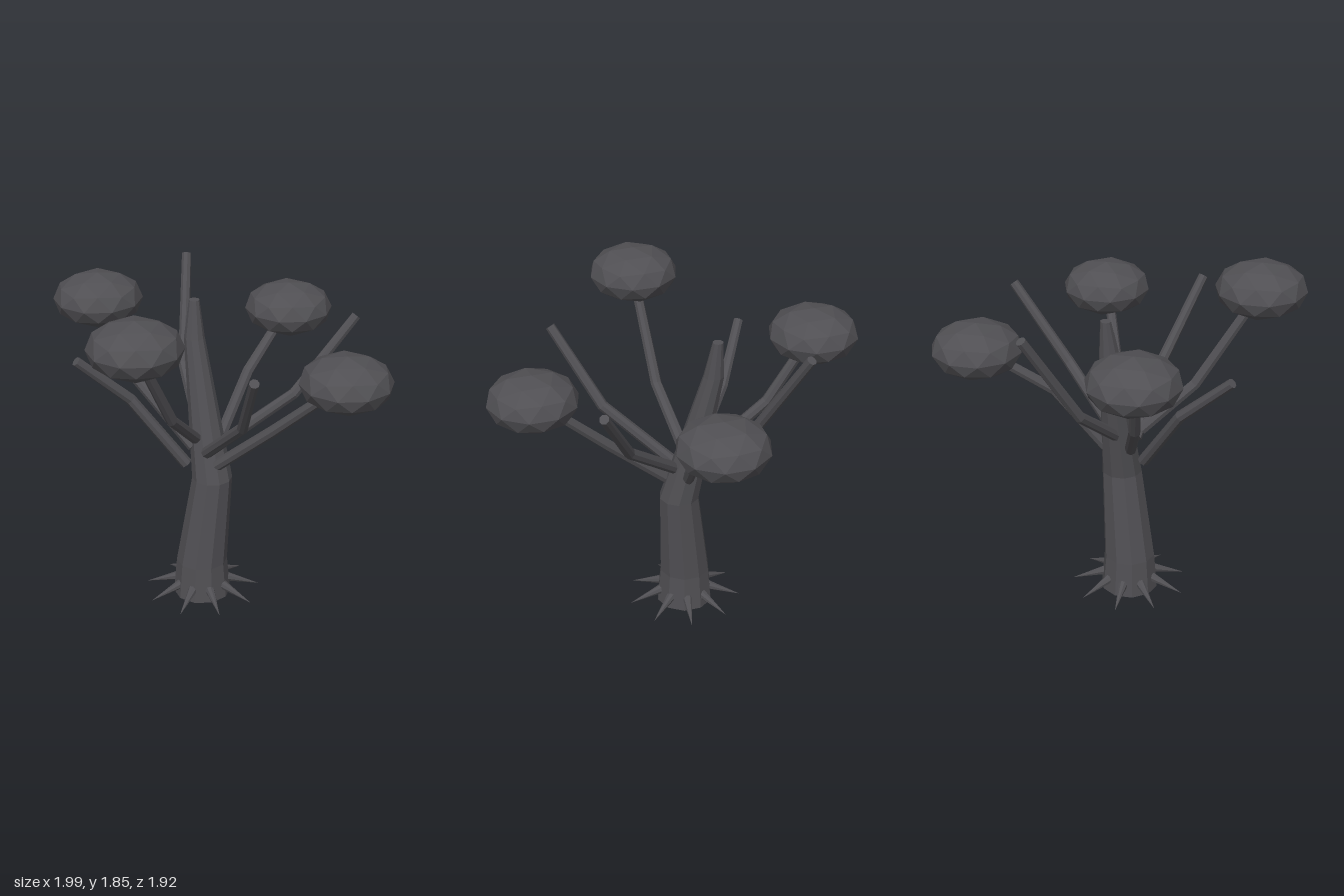
import * as THREE from 'three';

const bark = new THREE.MeshStandardMaterial({ color: 0x504f53, flatShading: true });
bark.name = 'charcoal';

const UP = new THREE.Vector3(0, 1, 0);

// Faceted limb through rings [x, y, z, radius], closed at both ends
function limb(name, rings, sides, level = false) {
  const centres = rings.map(([x, y, z]) => new THREE.Vector3(x, y, z));
  const pos = [], idx = [];
  const last = rings.length - 1;
  centres.forEach((c, i) => {
    const dir = centres[Math.min(i + 1, last)].clone().sub(centres[Math.max(i - 1, 0)]).normalize();
    const q = new THREE.Quaternion();
    if (!level) q.setFromUnitVectors(UP, dir);
    for (let s = 0; s < sides; s++) {
      const a = (s / sides) * Math.PI * 2;
      const p = new THREE.Vector3(Math.cos(a), 0, Math.sin(a)).multiplyScalar(rings[i][3]).applyQuaternion(q).add(c);
      pos.push(p.x, p.y, p.z);
    }
  });
  for (let i = 0; i < last; i++) {
    for (let s = 0; s < sides; s++) {
      const a = i * sides + s, b = i * sides + (s + 1) % sides;
      idx.push(a, a + sides, b, b, a + sides, b + sides);
    }
  }
  const top = last * sides;
  for (let s = 1; s < sides - 1; s++) {
    idx.push(0, s, s + 1);
    idx.push(top, top + s + 1, top + s);
  }
  const geo = new THREE.BufferGeometry();
  geo.setAttribute('position', new THREE.Float32BufferAttribute(pos, 3));
  geo.setIndex(idx);
  geo.computeVertexNormals();
  const mesh = new THREE.Mesh(geo, bark);
  mesh.name = name;
  return mesh;
}

export function createModel() {
  const tree = new THREE.Group();
  tree.name = 'tree';

  // Leaning trunk
  tree.add(limb('trunk', [
    [-0.068, 0, 0.052, 0.155],
    [-0.068, 0.2, 0.052, 0.138],
    [-0.024, 0.7, 0.015, 0.108],
    [-0.185, 1.45, -0.065, 0.055],
    [-0.198, 1.65, -0.085, 0.028],
  ], 10, true));

  // Branches: start, elbow, tip
  const branches = {
    frontBranch: [[-0.07, 0.96, 0.11], [-0.02, 1.19, 0.4], [0, 1.66, 0.71]],
    backBranch: [[-0.05, 0.8, -0.03], [-0.02, 1.19, -0.34], [0, 1.42, -0.7]],
    rightBranch: [[-0.12, 0.87, 0.05], [-0.52, 1.19, 0.03], [-0.74, 1.54, 0.01]],
    leftBranch: [[0.03, 0.8, 0.05], [0.36, 1.08, 0.03], [0.72, 1.4, 0.01]],
    backLeftBranch: [[-0.01, 0.88, 0], [0.325, 1.18, -0.24], [0.53, 1.57, -0.52]],
    frontLeftBranch: [[-0.01, 0.88, 0.09], [0.32, 1.18, 0.27], [0.53, 1.57, 0.51]],
    frontRightBranch: [[-0.12, 0.8, 0.12], [-0.36, 1.18, 0.28], [-0.53, 1.44, 0.51]],
    backRightBranch: [[-0.14, 0.97, -0.03], [-0.365, 1.2, -0.23], [-0.53, 1.71, -0.52]],
  };
  for (const [name, pts] of Object.entries(branches)) {
    tree.add(limb(name, pts.map((p, i) => [...p, [0.032, 0.03, 0.026][i]]), 8));
  }

  // Flattened foliage, standing on a pole vertex
  const leafGeo = new THREE.IcosahedronGeometry(1, 1);
  leafGeo.rotateZ(-Math.atan(2 / (1 + Math.sqrt(5)))).rotateY(-Math.PI / 2).scale(0.24, 0.143, 0.24);
  const clumps = {
    frontFoliage: [0, 1.71, 0.733],
    backFoliage: [0, 1.435, -0.733],
    rightFoliage: [-0.757, 1.573, 0],
    leftFoliage: [0.757, 1.435, 0],
  };
  for (const [name, p] of Object.entries(clumps)) {
    const clump = new THREE.Mesh(leafGeo, bark);
    clump.name = name;
    clump.position.set(...p);
    tree.add(clump);
  }

  // Ring of drooping root spikes
  const roots = new THREE.Group();
  roots.name = 'rootSpikes';
  roots.position.set(-0.065, 0, 0.052);
  const spikeGeo = new THREE.ConeGeometry(0.03, 0.22, 8).translate(0, 0.11, 0);
  for (let i = 0; i < 9; i++) {
    const a = (i / 9) * Math.PI * 2;
    const spike = new THREE.Mesh(spikeGeo, bark);
    spike.name = 'rootSpike';
    spike.position.set(Math.cos(a) * 0.105, 0.082, Math.sin(a) * 0.105);
    spike.quaternion.setFromUnitVectors(UP, new THREE.Vector3(Math.cos(a), -0.33, Math.sin(a)).normalize());
    roots.add(spike);
  }
  tree.add(roots);

  return tree;
}
